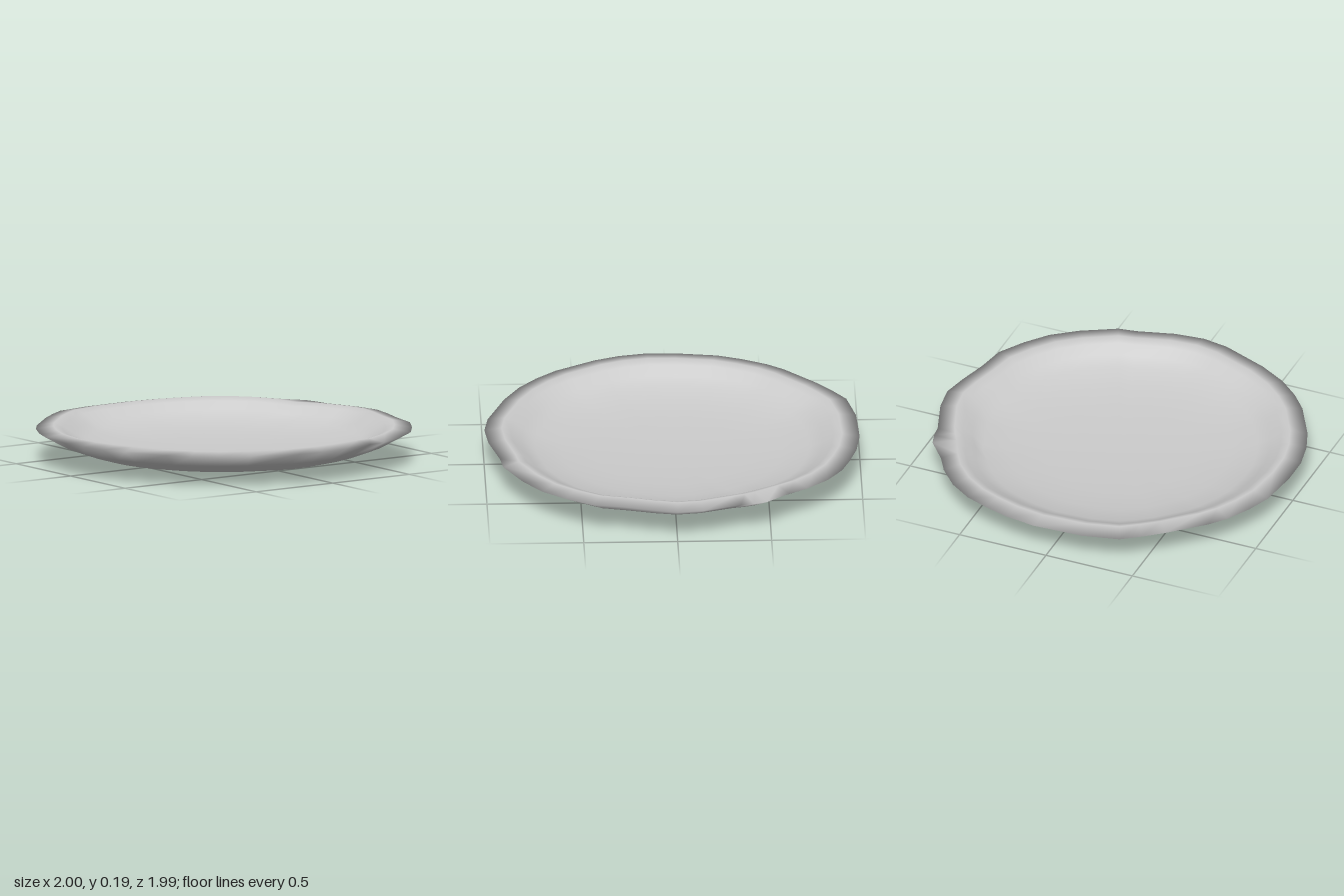
import * as THREE from 'three';

// Irregular hand-shaped rim, as x, z pairs going round from +x towards +z
const OUTLINE = [
  1, 0, .97, .135, .925, .29, .895, .45, .81, .59, .715, .71, .585, .81, .4, .91, .3, .925, .1, .98,
  -.06, .997, -.2, .975, -.45, .88, -.6, .795, -.71, .7, -.8, .595, -.92, .385, -.97, .255,
  -1, .11, -1, -.05, -.97, -.27, -.92, -.4, -.85, -.53, -.78, -.62, -.6, -.79, -.5, -.87,
  -.4, -.94, -.2, -.985, .07, -.997, .24, -.975, .38, -.935, .5, -.89, .62, -.81, .72, -.7,
  .78, -.6, .88, -.48, .9, -.41, .91, -.34, .98, -.14,
];

// Cross-section as [fraction of rim radius, height]: dish floor, rolled lip, underside
const PROFILE = [
  [.2, .053], [.42, .06], [.6, .075], [.74, .101], [.81, .132], [.865, .17], [.91, .186],
  [1, .17], [.88, .1], [.8, .068], [.71, .041],
  [.58, .022], [.43, .009], [.2, .002],
];

function createDish() {
  const n = OUTLINE.length / 2, rings = PROFILE.length;
  const pos = [0, .051, 0], index = [];

  PROFILE.forEach(([t, y], i) => {
    for (let j = 0; j < n; j++) {
      const x = OUTLINE[2 * j], z = OUTLINE[2 * j + 1];
      const radius = Math.hypot(x, z), angle = Math.atan2(z, x);
      // Inner rings relax towards a circle
      let r = t * THREE.MathUtils.lerp(.98, radius, t * t);
      let h = y;
      // Small pinched fold on the inside of the lip
      if (i > 3 && i < 7) {
        const pinch = Math.exp(-(((angle + .5) / .1) ** 2));
        r -= .035 * pinch;
        h -= .008 * pinch;
      }
      // Slightly uneven lip height
      if (i === 6 || i === 7) h += .002 * Math.sin(angle * 5);
      pos.push(r * x / radius, h, r * z / radius);
    }
  });
  pos.push(0, 0, 0);

  const last = 1 + rings * n;
  const at = (i, j) => 1 + i * n + (j % n);
  for (let j = 0; j < n; j++) {
    index.push(0, at(0, j + 1), at(0, j));
    for (let i = 0; i < rings - 1; i++) {
      const a = at(i, j), b = at(i + 1, j), c = at(i + 1, j + 1), d = at(i, j + 1);
      index.push(a, c, b, a, d, c);
    }
    index.push(last, at(rings - 1, j), at(rings - 1, j + 1));
  }

  const geometry = new THREE.BufferGeometry();
  geometry.setAttribute('position', new THREE.Float32BufferAttribute(pos, 3));
  geometry.setIndex(index);
  geometry.computeVertexNormals();
  return geometry;
}

export function createModel() {
  const group = new THREE.Group();
  group.name = 'plate';
  const dish = new THREE.Mesh(createDish(), new THREE.MeshStandardMaterial({ color: 0xcccccc }));
  dish.name = 'dish';
  group.add(dish);
  return group;
}
